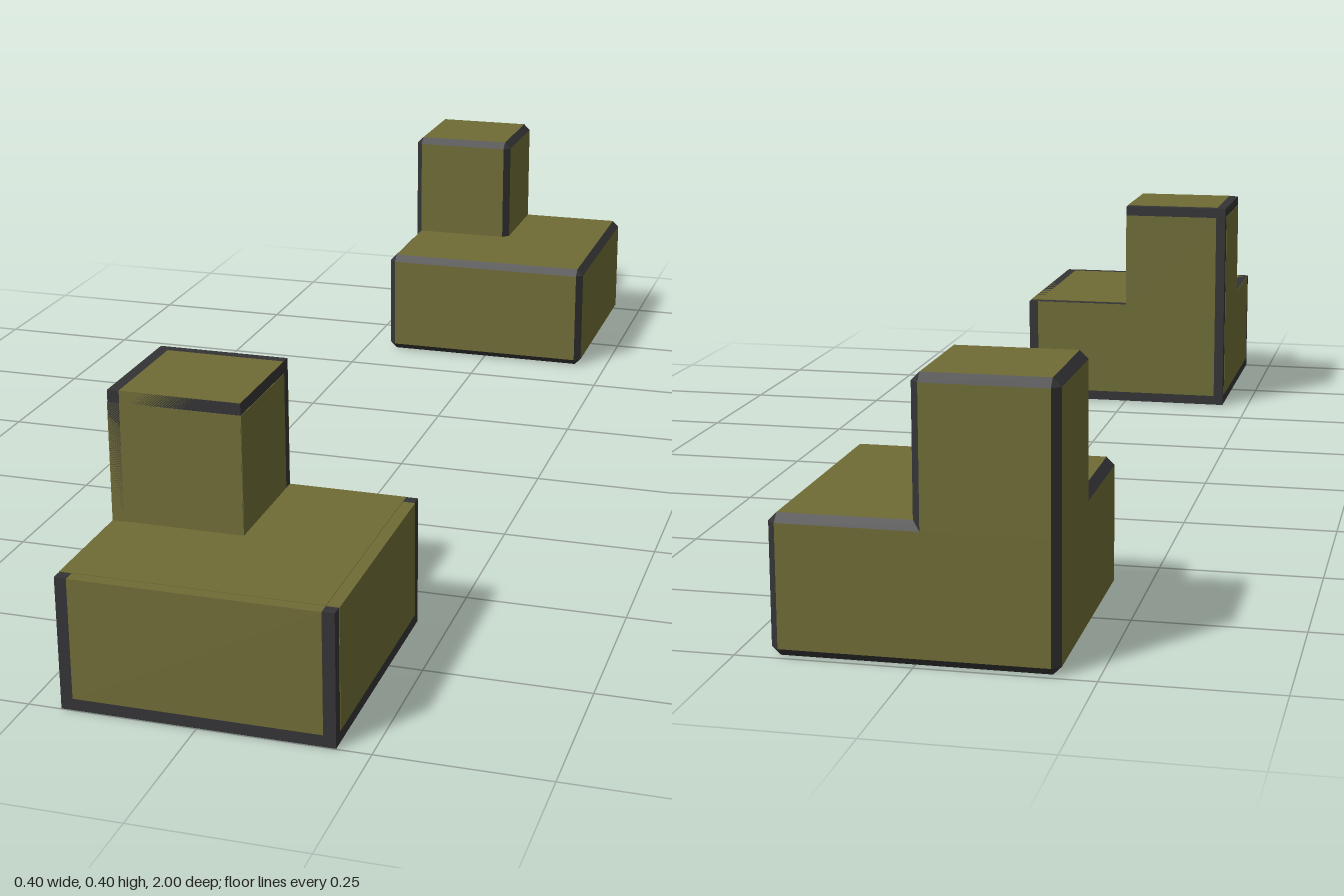
import * as THREE from 'three';

const olive = new THREE.MeshStandardMaterial({ color: 0x6f6c36 });
olive.name = 'olive';
const charcoal = new THREE.MeshStandardMaterial({ color: 0x343436 });
charcoal.name = 'charcoal';

const BORDER = 0.018; // painted border of the flat-edged block
const BEVEL = 0.012;  // chamfer of the bevelled block
const PROUD = 0.0008; // how far the panels stand out

function boxBetween(lo, hi, material, name) {
  const size = hi.map((h, i) => h - lo[i]);
  const mesh = new THREE.Mesh(new THREE.BoxGeometry(...size), material);
  mesh.position.set(...hi.map((h, i) => (h + lo[i]) / 2));
  mesh.name = name;
  return mesh;
}

// Dark box with olive panels, bordered only along the edges of the full cube
function borderedBox(lo, hi, cubeLo, cubeHi, name) {
  const group = new THREE.Group();
  group.name = name;
  group.add(boxBetween(lo, hi, charcoal, name + 'Border'));
  for (let axis = 0; axis < 3; axis++) {
    const a = lo.map((v, i) => (i === axis ? v - PROUD : Math.max(v, cubeLo[i] + BORDER)));
    const b = hi.map((v, i) => (i === axis ? v + PROUD : Math.min(v, cubeHi[i] - BORDER)));
    group.add(boxBetween(a, b, olive, name + 'Panel'));
  }
  return group;
}

// Box with olive faces and dark chamfers; the bottom chamfer can be left out
function bevelledBox(lo, hi, bottomBevel, name) {
  const centre = new THREE.Vector3(...lo.map((v, i) => (v + hi[i]) / 2));
  // Corner of the face across the given axis; signs pick the box corner
  const corner = (axis, s) => new THREE.Vector3(...s.map((v, i) => {
    const inset = i === axis || (i === 1 && v < 0 && !bottomBevel) ? 0 : BEVEL;
    return v > 0 ? hi[i] - inset : lo[i] + inset;
  }));
  const faces = [], chamfers = [];
  const addPolygon = (list, points) => {
    const middle = points.reduce((m, p) => m.add(p), new THREE.Vector3()).divideScalar(points.length);
    const normal = points[1].clone().sub(points[0]).cross(points[2].clone().sub(points[0]));
    if (normal.dot(middle.sub(centre)) < 0) points.reverse();
    for (let i = 1; i < points.length - 1; i++) {
      for (const p of [points[0], points[i], points[i + 1]]) list.push(p.x, p.y, p.z);
    }
  };
  const signs = (axis, s, t, u) => {
    const out = [];
    out[axis] = s;
    out[(axis + 1) % 3] = t;
    out[(axis + 2) % 3] = u;
    return out;
  };
  for (let axis = 0; axis < 3; axis++) {
    // Flat faces
    for (const s of [-1, 1]) {
      addPolygon(faces, [[-1, -1], [1, -1], [1, 1], [-1, 1]].map(([t, u]) => corner(axis, signs(axis, s, t, u))));
    }
    // Edge chamfers running along this axis
    const p = (axis + 1) % 3, q = (axis + 2) % 3;
    for (const t of [-1, 1]) for (const u of [-1, 1]) {
      const start = signs(axis, -1, t, u), end = signs(axis, 1, t, u);
      addPolygon(chamfers, [corner(p, start), corner(p, end), corner(q, end), corner(q, start)]);
    }
  }
  // Corner triangles
  for (const x of [-1, 1]) for (const y of [-1, 1]) for (const z of [-1, 1]) {
    addPolygon(chamfers, [0, 1, 2].map((axis) => corner(axis, [x, y, z])));
  }
  const group = new THREE.Group();
  group.name = name;
  for (const [list, material, part] of [[faces, olive, 'Faces'], [chamfers, charcoal, 'Chamfers']]) {
    const geometry = new THREE.BufferGeometry();
    geometry.setAttribute('position', new THREE.Float32BufferAttribute(list, 3));
    geometry.computeVertexNormals();
    const mesh = new THREE.Mesh(geometry, material);
    mesh.name = name + part;
    group.add(mesh);
  }
  return group;
}

export function createModel() {
  const model = new THREE.Group();
  model.name = 'cornerBlocks';

  // Front block: sharp edges with painted borders
  const front = new THREE.Group();
  front.name = 'frontBlock';
  const cubeLo = [-0.2, 0, 0.6], cubeHi = [0.2, 0.4, 1];
  front.add(borderedBox(cubeLo, [0.2, 0.2, 1], cubeLo, cubeHi, 'frontBase'));
  front.add(borderedBox([-0.2, 0.2, 0.6], [0, 0.4, 0.8], cubeLo, cubeHi, 'frontTower'));
  model.add(front);

  // Back block: dark chamfered edges; the tower is sunk to the base chamfer so the sides stay flush
  const back = new THREE.Group();
  back.name = 'backBlock';
  back.add(bevelledBox([-0.2, 0, -1], [0.2, 0.2, -0.6], true, 'backBase'));
  back.add(bevelledBox([-0.2, 0.2 - BEVEL, -1], [0, 0.4, -0.8], false, 'backTower'));
  model.add(back);

  return model;
}
